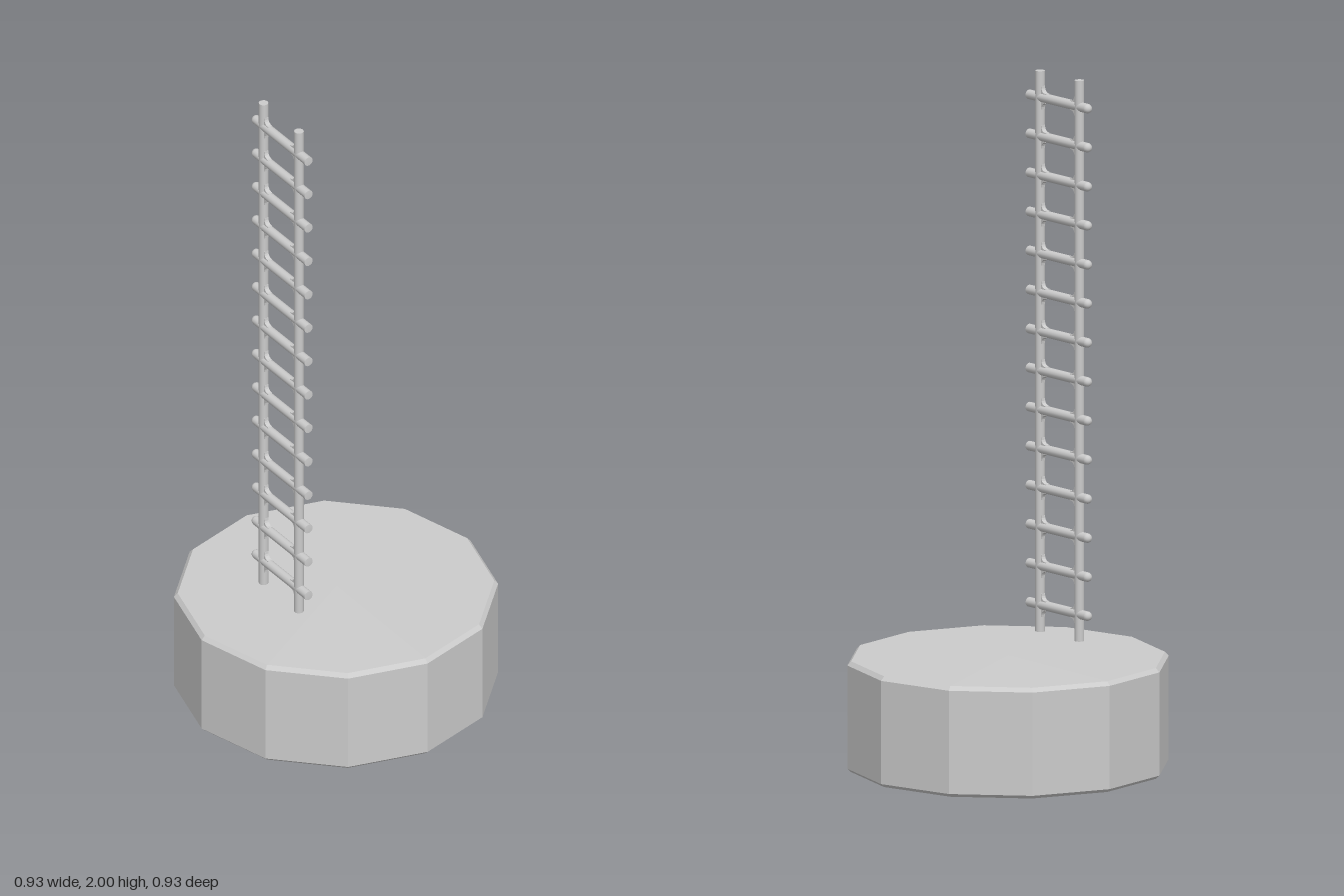
import * as THREE from 'three';

const grey = new THREE.MeshStandardMaterial({ color: 0xcccccc });
const greyFlat = new THREE.MeshStandardMaterial({ color: 0xcccccc, flatShading: true });
const red = new THREE.MeshStandardMaterial({ color: 0xd00818 });

const RAIL_Z = 0.09, RAIL_R = 0.014, RUNG_R = 0.014;

function add(parent, name, geometry, material) {
  const mesh = new THREE.Mesh(geometry, material);
  mesh.name = name;
  parent.add(mesh);
  return mesh;
}

// Twelve-sided drum with chamfered rims and a shallow recess underneath
function createBase() {
  const base = new THREE.Group();
  base.name = 'base';
  const profile = [
    [0, 0.05], [0.39, 0.05], [0.39, 0.01], [0.4, 0], [0.455, 0],
    [0.466, 0.01], [0.466, 0.312], [0.455, 0.324], [0, 0.328],
  ].map(([r, y]) => new THREE.Vector2(r, y));
  add(base, 'drum', new THREE.LatheGeometry(profile, 12), greyFlat);

  // Two half panels in the recess, parted by a narrow diagonal gap
  for (const side of [1, -1]) {
    const half = new THREE.Shape();
    const gap = 0.01 * side;
    half.moveTo(-0.385, gap);
    for (let i = 1; i < 6; i++) {
      const a = Math.PI - (i * Math.PI) / 6;
      half.lineTo(0.385 * Math.cos(a), side * 0.385 * Math.sin(a));
    }
    half.lineTo(0.385, gap);
    const geometry = new THREE.ExtrudeGeometry(half, { depth: 0.015, bevelEnabled: false });
    geometry.rotateX(-Math.PI / 2);
    const panel = add(base, 'underPanel', geometry, red);
    panel.position.y = 0.037;
    panel.rotation.y = Math.PI * 0.275;
  }
  return base;
}

// Rung along z: flat at the front end, domed at the back end
function createRungGeometry() {
  const points = [new THREE.Vector2(0, -0.14), new THREE.Vector2(RUNG_R, -0.14), new THREE.Vector2(RUNG_R, -0.139)];
  for (let i = 0; i <= 5; i++) {
    const a = (i / 5) * Math.PI / 2;
    points.push(new THREE.Vector2(RUNG_R * Math.cos(a), 0.126 + RUNG_R * Math.sin(a)));
  }
  return new THREE.LatheGeometry(points, 14).rotateX(-Math.PI / 2);
}

// Small concave web that rounds an inside corner between rail and rung
function createWebGeometry(sz, sy) {
  const s = 0.02, web = new THREE.Shape();
  web.moveTo(sz * 0.004, sy * -0.004);
  web.lineTo(sz * 0.004, sy * s);
  web.lineTo(0, sy * s);
  web.quadraticCurveTo(0, 0, -sz * s, 0);
  web.lineTo(-sz * s, sy * -0.004);
  const geometry = new THREE.ExtrudeGeometry(web, { depth: 0.014, bevelEnabled: false, curveSegments: 5 });
  return geometry.translate(0, 0, -0.007).rotateY(-Math.PI / 2);
}

function createLadder() {
  const ladder = new THREE.Group();
  ladder.name = 'ladder';
  ladder.position.x = -0.19;

  const railGeometry = new THREE.CylinderGeometry(RAIL_R, RAIL_R, 1.64, 14);
  for (const side of [1, -1]) {
    add(ladder, 'rail', railGeometry, grey).position.set(0, 1.18, side * RAIL_Z);
  }

  const rungGeometry = createRungGeometry();
  const webs = [];
  for (const sz of [1, -1]) for (const sy of [1, -1]) webs.push([sz, sy, createWebGeometry(sz, sy)]);

  for (let i = 0; i < 14; i++) {
    const y = 0.438 + i * 0.1142;
    add(ladder, 'rung', rungGeometry, grey).position.y = y;
    for (const [sz, sy, geometry] of webs) {
      add(ladder, 'cornerWeb', geometry, grey).position.set(0, y + sy * RUNG_R, sz * (RAIL_Z - RAIL_R));
    }
  }
  return ladder;
}

export function createModel() {
  const model = new THREE.Group();
  model.name = 'ladderOnDrum';
  model.add(createBase(), createLadder());
  return model;
}
